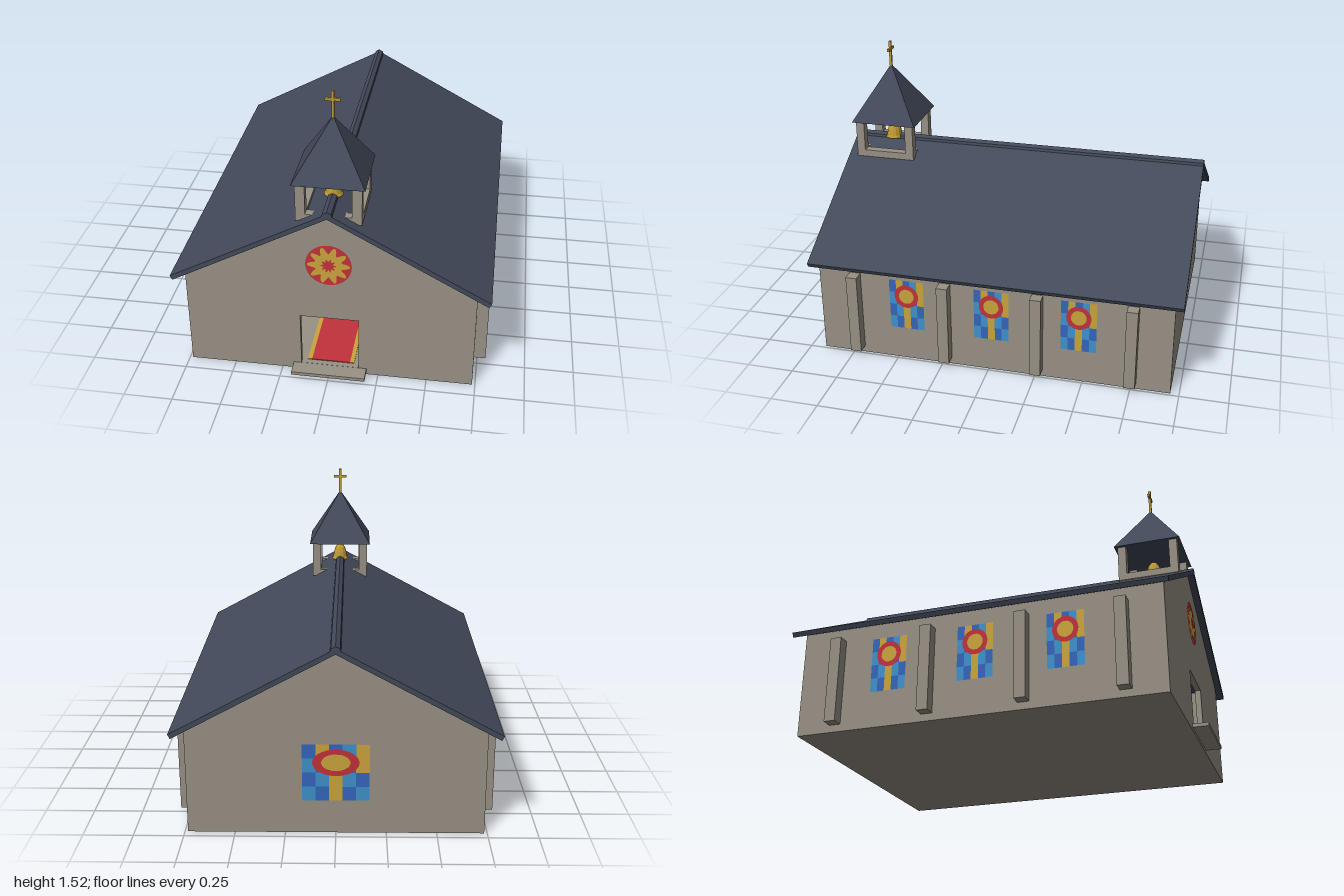
import * as THREE from 'three';

const material = (name, color, side = THREE.FrontSide) => {
  const m = new THREE.MeshStandardMaterial({ color, side });
  m.name = name;
  return m;
};

export function createModel() {
  const model = new THREE.Group();
  model.name = 'chapel';
  const stone = material('stone', 0x989185);
  const slate = material('slate', 0x424959);
  const brass = material('brass', 0xc09a34);
  brass.flatShading = true;
  const D = THREE.DoubleSide;
  const red = material('red glass', 0xc2323a, D);
  const yellow = material('yellow glass', 0xcba53c, D);
  const blue = material('blue glass', 0x3566bd, D);
  const sky = material('sky glass', 0x3f92cc, D);

  const add = (parent, name, geometry, mat, x = 0, y = 0, z = 0) => {
    const mesh = new THREE.Mesh(geometry, mat);
    mesh.name = name;
    mesh.position.set(x, y, z);
    parent.add(mesh);
    return mesh;
  };
  // Box given by its lower and upper corners
  const box = (parent, name, mat, [x0, y0, z0], [x1, y1, z1]) =>
    add(parent, name, new THREE.BoxGeometry(x1 - x0, y1 - y0, z1 - z0), mat,
      (x0 + x1) / 2, (y0 + y1) / 2, (z0 + z1) / 2);
  const polygon = (points) => new THREE.Shape(points.map(([x, y]) => new THREE.Vector2(x, y)));
  const extrude = (shape, depth) => new THREE.ExtrudeGeometry(shape, { depth, bevelEnabled: false });

  // Foundation, doorstep and side walls
  box(model, 'foundation', stone, [-0.735, 0, -0.955], [0.735, 0.037, 0.92]);
  box(model, 'doorstep', stone, [-0.19, 0.018, 0.9], [0.19, 0.036, 1]);
  for (const s of [-1, 1]) {
    add(model, 'sideWall', new THREE.BoxGeometry(0.025, 0.513, 1.875), stone, s * 0.7225, 0.2935, -0.0175);
    for (const z of [0.72, 0.23, -0.26, -0.75])
      add(model, 'buttress', new THREE.BoxGeometry(0.065, 0.445, 0.058), stone, s * 0.7625, 0.26, z);
  }

  // Gabled end walls, the front one with a doorway
  const gable = () => polygon([[-0.715, 0.037], [0.715, 0.037], [0.715, 0.562], [0, 0.952], [-0.715, 0.562]]);
  const front = gable();
  front.holes.push(new THREE.Path([[-0.15, 0.037], [-0.15, 0.34], [0.15, 0.34], [0.15, 0.037]]
    .map(([x, y]) => new THREE.Vector2(x, y))));
  add(model, 'frontWall', extrude(front, 0.03), stone, 0, 0, 0.89);
  add(model, 'backWall', extrude(gable(), 0.03), stone, 0, 0, -0.955);

  // Roof slopes and ridge cap
  const roof = polygon([[-0.805, 0.543], [-0.793, 0.52], [0, 0.952], [0.793, 0.52], [0.805, 0.543], [0, 0.98]]);
  add(model, 'roof', extrude(roof, 1.955), slate, 0, 0, -1);
  const cap = polygon([[-0.027, 0.962], [0, 0.974], [0.027, 0.962], [0.022, 0.98], [0, 0.992], [-0.022, 0.98]]);
  add(model, 'ridgeCap', extrude(cap, 1.955), slate, 0, 0, -1);

  // Stained glass: a patchwork of panes with a ring, both scaled to the window
  const glass = [sky, blue, yellow, blue, sky, yellow, sky, blue];
  const stainedWindow = (w, h, cols = 5, rows = 4) => {
    const g = new THREE.Group();
    g.name = 'stainedWindow';
    for (let r = 0; r < rows; r++) for (let c = 0; c < cols; c++)
      add(g, 'pane', new THREE.PlaneGeometry(w / cols, h / rows), glass[(c + r * 3) % glass.length],
        ((c + 0.5) / cols - 0.5) * w, ((r + 0.5) / rows - 0.5) * h, 0);
    const ring = add(g, 'ring', new THREE.RingGeometry(0.62, 1, 28), red, 0, h * 0.18, 0.002);
    const heart = add(g, 'ringCentre', new THREE.CircleGeometry(0.63, 28), yellow, 0, h * 0.18, 0.002);
    for (const m of [ring, heart]) m.scale.set(w * 0.35, h * 0.235, 1);
    return g;
  };
  const placeWindow = (w, h, x, y, z, turn) => {
    const win = stainedWindow(w, h);
    win.position.set(x, y, z);
    win.rotation.y = turn;
    model.add(win);
  };
  for (const s of [-1, 1]) for (const z of [0.44, -0.017, -0.475]) {
    placeWindow(0.185, 0.285, s * 0.738, 0.327, z, s * Math.PI / 2);
    placeWindow(0.185, 0.285, s * 0.707, 0.327, z, -s * Math.PI / 2);
  }
  placeWindow(0.33, 0.3, 0, 0.327, -0.958, Math.PI);
  placeWindow(0.33, 0.3, 0, 0.327, -0.922, 0);

  // Rose window: red disc, scalloped yellow flower, red starry heart
  const rose = new THREE.Group();
  rose.name = 'roseWindow';
  rose.position.set(0, 0.665, 0.922);
  model.add(rose);
  const star = (radius, wave, lobes) => {
    const pts = [];
    for (let i = 0; i < 120; i++) {
      const a = i / 120 * Math.PI * 2, r = radius + wave * Math.cos(a * lobes);
      pts.push([r * Math.cos(a), r * Math.sin(a)]);
    }
    return new THREE.ShapeGeometry(polygon(pts));
  };
  add(rose, 'roseRim', new THREE.CircleGeometry(0.116, 40), red);
  add(rose, 'rosePetals', star(0.088, 0.02, 10), yellow, 0, 0, 0.002);
  add(rose, 'roseHeart', star(0.031, 0.008, 10), red, 0, 0, 0.004);

  // Carpet with yellow borders, and altar steps inside
  box(model, 'carpet', red, [-0.1, 0.037, -0.7], [0.1, 0.041, 0.89]);
  for (const s of [-1, 1])
    add(model, 'carpetBorder', new THREE.BoxGeometry(0.022, 0.004, 1.59), yellow, s * 0.111, 0.039, 0.095);
  box(model, 'lowerAltarStep', stone, [-0.5, 0.037, -0.925], [0.5, 0.055, -0.65]);
  box(model, 'upperAltarStep', stone, [-0.45, 0.055, -0.925], [0.45, 0.073, -0.72]);

  // Belfry: base frame, posts, spire, bell and cross
  const belfry = new THREE.Group();
  belfry.name = 'belfry';
  belfry.position.z = 0.738;
  model.add(belfry);
  for (const s of [-1, 1]) {
    add(belfry, 'sideRail', new THREE.BoxGeometry(0.048, 0.038, 0.325), stone, s * 0.139, 0.918, 0);
    add(belfry, 'crossRail', new THREE.BoxGeometry(0.23, 0.038, 0.045), stone, 0, 0.918, s * 0.14);
    for (const t of [-1, 1])
      add(belfry, 'post', new THREE.BoxGeometry(0.048, 0.165, 0.045), stone, s * 0.139, 1.0195, t * 0.14);
  }
  const spire = new THREE.ConeGeometry(0.18 * Math.SQRT2, 0.295, 4).toNonIndexed();
  spire.rotateY(Math.PI / 4);
  spire.computeVertexNormals();
  add(belfry, 'spire', spire, slate, 0, 1.2475, 0);
  const bellProfile = [[0.049, 0.97], [0.042, 0.985], [0.037, 1.015], [0.029, 1.042], [0.016, 1.058], [0, 1.066]];
  const bellMat = brass.clone();
  bellMat.name = 'bell brass';
  bellMat.side = D;
  add(belfry, 'bell', new THREE.LatheGeometry(bellProfile.map(([x, y]) => new THREE.Vector2(x, y)), 12), bellMat);
  add(belfry, 'crossUpright', new THREE.BoxGeometry(0.013, 0.14, 0.013), brass, 0, 1.455, 0);
  add(belfry, 'crossArm', new THREE.BoxGeometry(0.075, 0.014, 0.013), brass, 0, 1.481, 0);
  return model;
}
